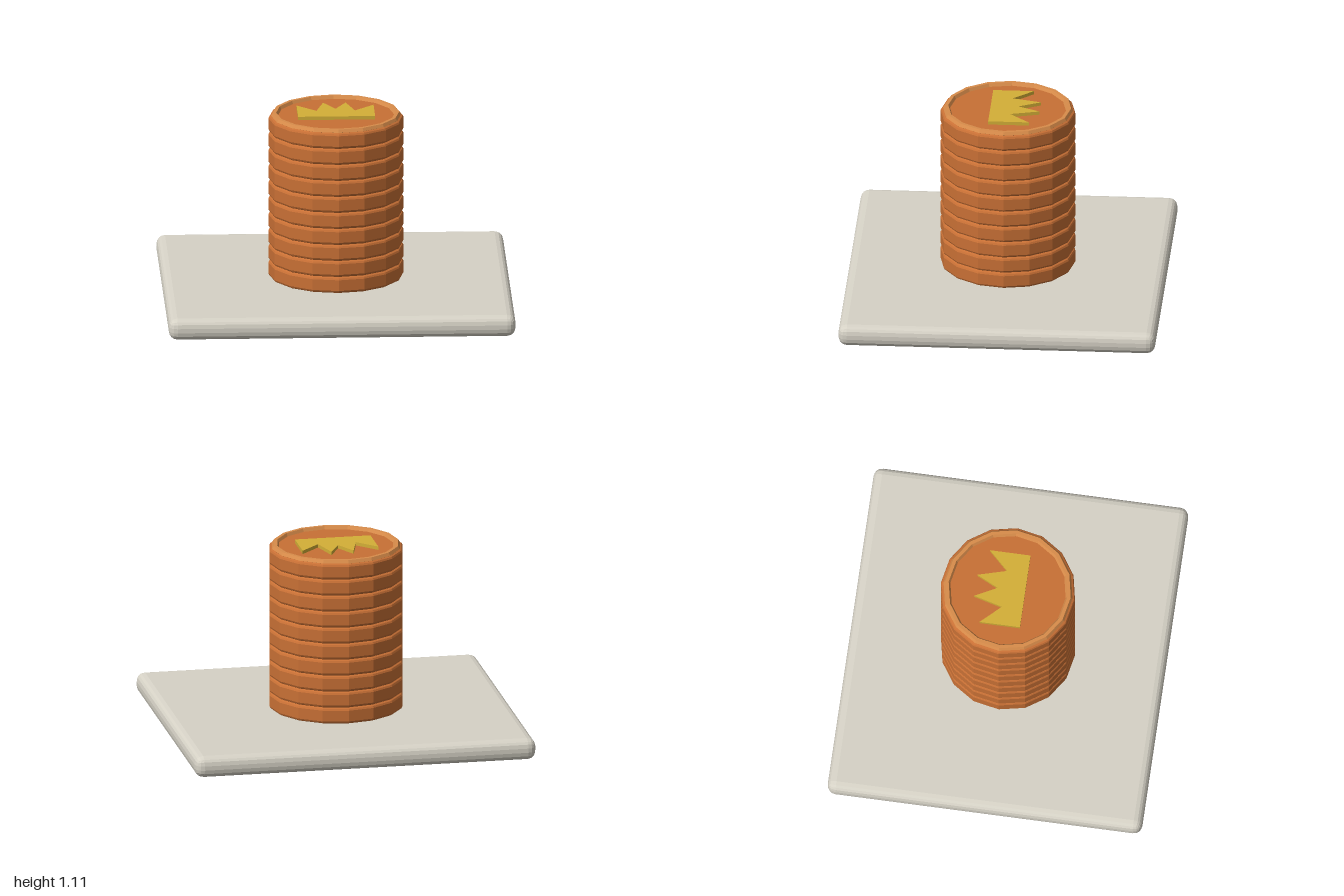
import * as THREE from 'three';
import { RoundedBoxGeometry } from 'three/addons/geometries/RoundedBoxGeometry.js';

const mat = (name, color) => {
  const m = new THREE.MeshStandardMaterial({ color, flatShading: true });
  m.name = name;
  return m;
};

export function createModel() {
  const model = new THREE.Group();
  const stone = mat('pale stone', 0xd6d2c6);
  const copper = mat('copper', 0xc87035);
  const lightCopper = mat('light copper', 0xd88c4a);
  const gold = mat('gold', 0xd4af37);

  const add = (name, geometry, material, y) => {
    const mesh = new THREE.Mesh(geometry, material);
    mesh.name = name;
    mesh.position.y = y;
    model.add(mesh);
    return mesh;
  };

  // Square base plate with softened edges
  const baseTop = 0.125;
  add('basePlate', new RoundedBoxGeometry(2, baseTop, 1.83, 2, 0.05), stone, baseTop / 2);

  // Stack of ten sixteen-sided coins with bevelled edges
  const count = 10, pitch = 0.096, radius = 0.39;
  const profile = [
    [0, 0], [radius - 0.016, 0], [radius - 0.005, 0.006], [radius, 0.016],
    [radius, pitch - 0.016], [radius - 0.005, pitch - 0.006], [radius - 0.016, pitch], [0, pitch],
  ].map(([x, y]) => new THREE.Vector2(x, y));
  const coin = new THREE.LatheGeometry(profile, 16);
  for (let i = 0; i < count; i++) add(`coin${i + 1}`, coin, copper, baseTop + i * pitch);
  const top = baseTop + count * pitch;

  // Raised rim around the top coin
  const rim = new THREE.TorusGeometry(0.355, 0.02, 6, 16);
  rim.rotateX(-Math.PI / 2);
  add('topRim', rim, lightCopper, top);

  // Crown relief lying on the top coin, points towards the back
  const crown = new THREE.Shape([
    [-0.222, -0.1], [0.222, -0.1], [0.222, 0.135], [0.11, 0.02], [0.063, 0.187],
    [0, 0.06], [-0.067, 0.187], [-0.112, 0.02], [-0.222, 0.135],
  ].map(([x, y]) => new THREE.Vector2(x, y)));
  const relief = new THREE.ExtrudeGeometry(crown, { depth: 0.024, bevelEnabled: false });
  relief.rotateX(-Math.PI / 2);
  add('crownRelief', relief, gold, top - 0.004);

  return model;
}
